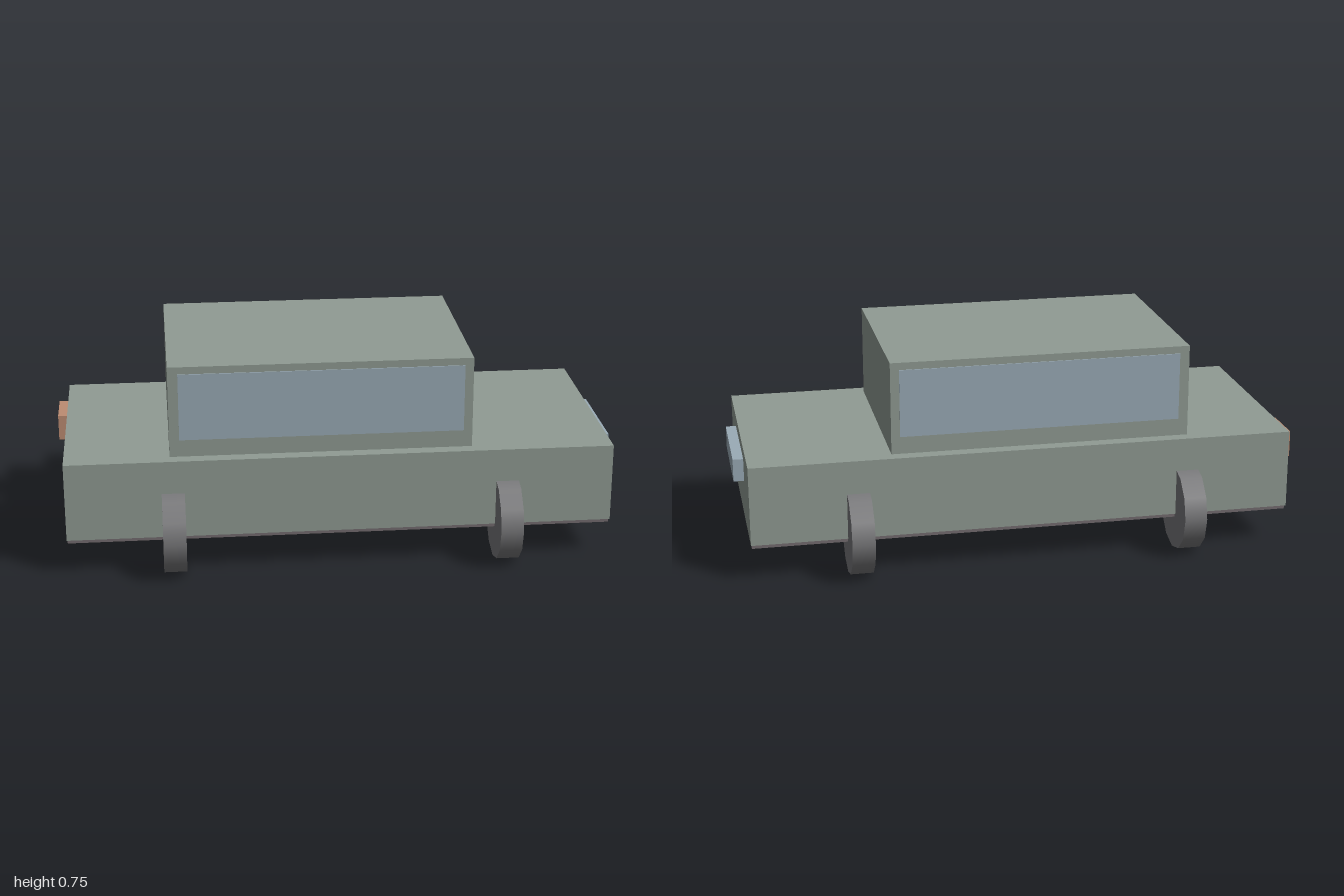
import * as THREE from 'three';

const material = (color) => new THREE.MeshStandardMaterial({ color });

export function createModel() {
  const model = new THREE.Group();
  model.name = 'car';
  const paint = material(0x909b93);
  const glass = material(0x9aabb6);
  const amber = material(0xbd8c72);
  const rubber = material(0x777779);
  const chassis = material(0x736c6f);

  // Box given by its limits on each axis
  const box = (name, [x0, x1], [y0, y1], [z0, z1], mat) => {
    const mesh = new THREE.Mesh(new THREE.BoxGeometry(x1 - x0, y1 - y0, z1 - z0), mat);
    mesh.position.set((x0 + x1) / 2, (y0 + y1) / 2, (z0 + z1) / 2);
    mesh.name = name;
    model.add(mesh);
  };

  // Body, floor and cabin
  box('body', [-0.963, 0.963], [0.135, 0.417], [-0.41, 0.41], paint);
  box('floorPlate', [-0.96, 0.96], [0.12, 0.136], [-0.4, 0.4], chassis);
  box('cabin', [-0.596, 0.465], [0.416, 0.745], [-0.364, 0.364], paint);

  // Lamps on the two ends
  box('headlight', [0.96, 1], [0.291, 0.372], [-0.184, 0.184], glass);
  box('tailLight', [-1, -0.96], [0.291, 0.385], [-0.32, -0.16], amber);

  // Side windows and wheels, mirrored front to back
  const wheelGeometry = new THREE.CylinderGeometry(0.153, 0.153, 0.08, 12);
  wheelGeometry.rotateZ(Math.PI / 2);
  for (const side of [1, -1]) {
    const sideName = side > 0 ? 'front' : 'back';
    box(sideName + 'Window', [-0.561, 0.434], [0.479, 0.719],
      side > 0 ? [0.35, 0.368] : [-0.368, -0.35], glass);
    for (const x of [-0.588, 0.588]) {
      const wheel = new THREE.Mesh(wheelGeometry, rubber);
      wheel.position.set(x, 0.153, side * 0.38);
      wheel.name = sideName + (x > 0 ? 'Left' : 'Right') + 'Wheel';
      model.add(wheel);
    }
  }
  return model;
}
